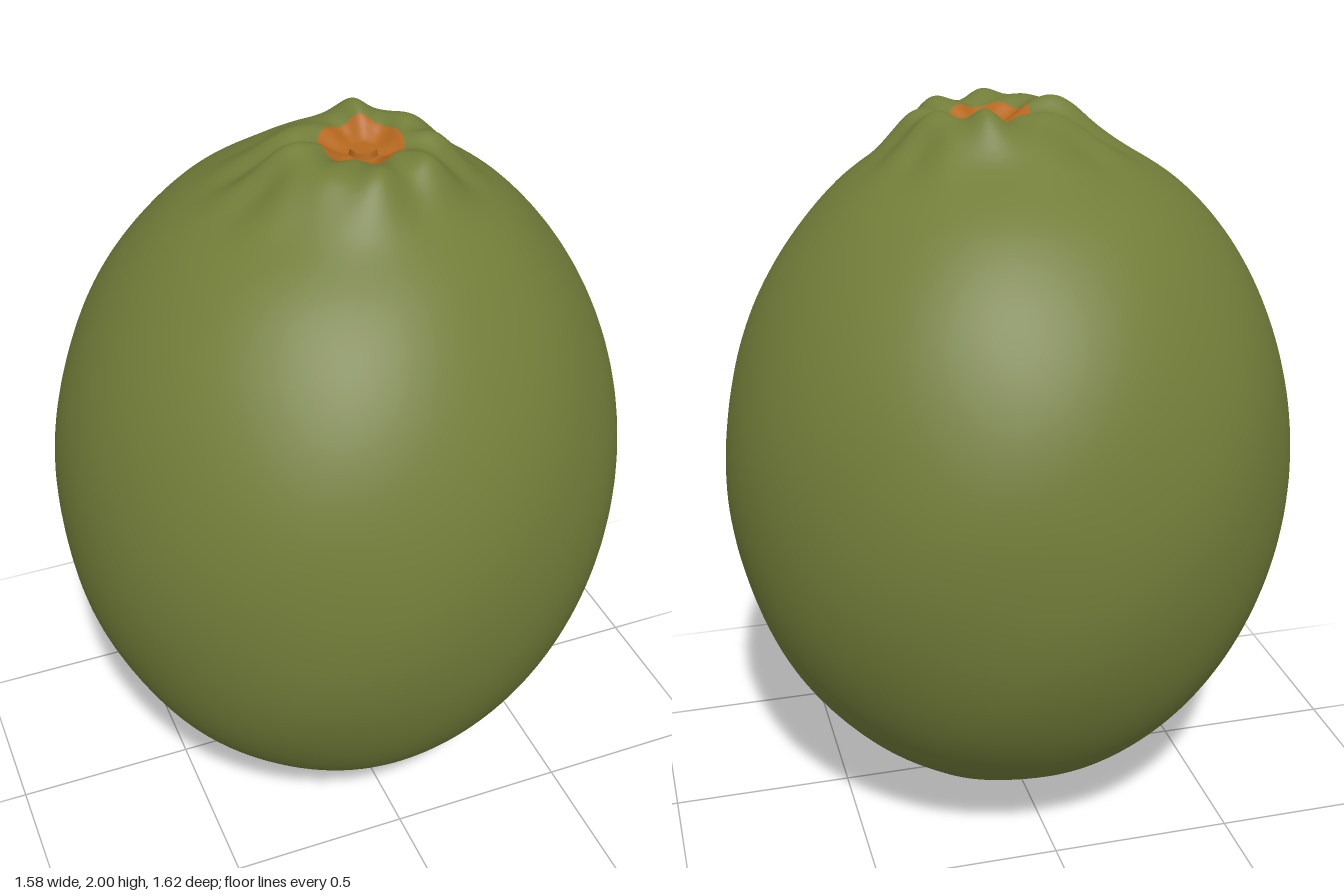
import * as THREE from 'three';

const SEG = 120, RINGS = 154;

// Half outlines: radius, height
const NIPPLE = [[0, 0], [0.05, 0.012], [0.085, 0.045], [0.125, 0.085], [0.19, 0.105]];
const CROWN = [
  [0.27, 1.9], [0.2, 1.94], [0.15, 1.955], [0.11, 1.952], [0.08, 1.937], [0.05, 1.925], [0, 1.925],
];

// Swollen lobes round the stem: angle, radius, height
const LOBES = [
  [-1.25, 0.17, 0.052], [-2.4, 0.18, 0.025], [2.97, 0.19, 0.048], [2.3, 0.22, 0.045],
  [1.65, 0.23, 0.05], [1.0, 0.23, 0.045], [0.15, 0.22, 0.03], [-0.45, 0.18, 0.035],
];

const bell = (d, w) => Math.exp(-(d * d) / (w * w));
const turn = (a, b) => Math.atan2(Math.sin(a - b), Math.cos(a - b));

// Nipple, egg-shaped body and crown joined into one smooth outline
function outline() {
  const points = [...NIPPLE];
  for (let i = 0; i <= 12; i++) {
    const t = THREE.MathUtils.lerp(-1.2, 1.12, i / 12);
    points.push([0.79 * Math.cos(t), 1 + 0.944 * Math.sin(t)]);
  }
  points.push(...CROWN);
  return new THREE.CatmullRomCurve3(points.map(([r, y]) => new THREE.Vector3(r, y, 0))).getPoints(RINGS);
}

// Moves one point of the plain outline to its place on the lumpy skin
function skinPoint(r, y, a) {
  const top = y > 1;
  const nearAxis = bell(r, 0.32);
  let h = y;
  // The cross-section is a slightly oval, diagonal one
  let radius = r * (1 - 0.028 * Math.sin(2 * a) * (1 - nearAxis) + 0.004 * Math.sin(3 * a + 1));
  if (top) {
    for (const [angle, at, height] of LOBES) {
      h += height * bell(turn(a, angle), 0.3) * bell(r - at, 0.075);
    }
    // Creases running outward between the lobes
    h -= 0.02 * bell(r - 0.25, 0.09) * (0.5 + 0.5 * Math.cos(9 * a + 2 * Math.sin(2 * a)));
    h += 0.008 * bell(r - 0.1, 0.04) * Math.cos(6 * a);
  } else {
    // Fine wrinkles round the nipple
    h += 0.006 * bell(r - 0.27, 0.14) * Math.sin(7 * a + 14 * r);
    h += 0.004 * bell(r - 0.12, 0.06) * Math.cos(5 * a);
  }
  radius += 0.003 * Math.sin(5 * a + 6 * y) * Math.sin(4 * y + 2 * a) * (1 - nearAxis);
  return [
    radius * Math.cos(a) + (top ? 0.06 : 0.045) * nearAxis,
    h,
    radius * 1.025 * Math.sin(a) + (top ? 0.03 : 0) * nearAxis,
  ];
}

function fruitGeometry() {
  const rings = outline();
  const positions = [];
  for (const p of rings) {
    for (let j = 0; j < SEG; j++) {
      positions.push(...skinPoint(Math.max(p.x, 0), p.y, (j / SEG) * Math.PI * 2));
    }
  }
  const skin = [], scars = [];
  for (let i = 0; i < RINGS; i++) {
    const inCrater = rings[i].y > 1.8 && rings[i].x < 0.112;
    const atTip = rings[i].y < 0.002;
    const list = inCrater || atTip ? scars : skin;
    for (let j = 0; j < SEG; j++) {
      const k = (j + 1) % SEG;
      const a = i * SEG + j, b = i * SEG + k, c = a + SEG, d = b + SEG;
      if (i > 0) list.push(a, c, b);
      if (i < RINGS - 1) list.push(b, c, d);
    }
  }
  const geometry = new THREE.BufferGeometry();
  geometry.setAttribute('position', new THREE.Float32BufferAttribute(positions, 3));
  geometry.setIndex([...skin, ...scars]);
  geometry.addGroup(0, skin.length, 0);
  geometry.addGroup(skin.length, scars.length, 1);
  geometry.computeVertexNormals();
  return geometry;
}

export function createModel() {
  const green = new THREE.MeshStandardMaterial({ color: 0x727d39 });
  green.name = 'greenPeel';
  const orange = new THREE.MeshStandardMaterial({ color: 0xb5681f });
  orange.name = 'orangeStemScar';

  const model = new THREE.Group();
  model.name = 'citrusFruit';

  // Peel, with the stem crater and the nipple tip in the second material
  const fruit = new THREE.Mesh(fruitGeometry(), [green, orange]);
  fruit.name = 'peelAndStemCrater';
  model.add(fruit);

  // Small stub of the stem inside the crater
  const stub = new THREE.Mesh(new THREE.CylinderGeometry(0.035, 0.045, 0.05, 7), orange);
  stub.name = 'stemStub';
  stub.position.set(0.06, 1.915, 0.03);
  model.add(stub);
  return model;
}
